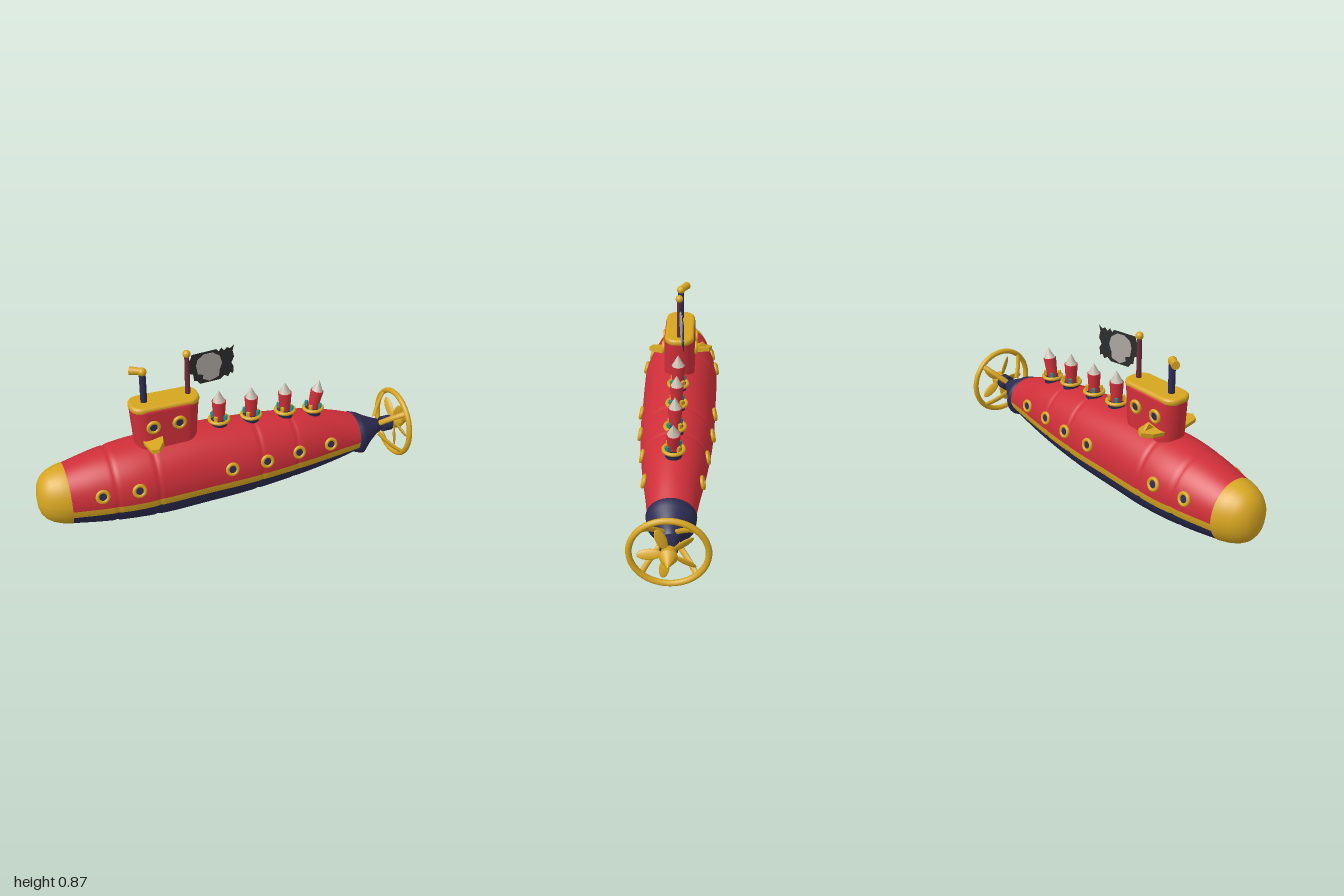
import * as THREE from 'three';

const mat = (name, color, side = THREE.FrontSide) => {
  const m = new THREE.MeshStandardMaterial({ color, side });
  m.name = name;
  return m;
};

export function createModel() {
  const red = mat('red', 0xcf2f39), gold = mat('gold', 0xd6a520), navy = mat('navy', 0x2c2b52);
  const black = mat('black', 0x2c2c2c, THREE.DoubleSide), grey = mat('grey', 0xaba5a1);
  const maroon = mat('maroon', 0x6b2f38), teal = mat('teal', 0x1c8f92), bone = mat('bone', 0xc9c0b2);
  const root = new THREE.Group();
  root.name = 'submarine';

  const add = (name, geo, material, pos = [0, 0, 0], rot = [0, 0, 0], parent = root) => {
    const m = new THREE.Mesh(geo, material);
    m.name = name;
    m.position.set(...pos);
    m.rotation.set(...rot);
    parent.add(m);
  };
  const group = (name, pos, parent = root) => {
    const g = new THREE.Group();
    g.name = name;
    g.position.set(...pos);
    parent.add(g);
    return g;
  };
  const outline = (pts) => new THREE.Shape(pts.map(([x, y]) => new THREE.Vector2(x, y)));
  const plate = (pts, depth) => new THREE.ExtrudeGeometry(outline(pts), { depth, bevelEnabled: false });

  // Hull sections: x, then top, bottom and half width
  const xs = [-0.86, -0.7, -0.55, -0.4, -0.2, 0, 0.2, 0.4, 0.55, 0.66];
  const sizes = [0.37, 0.07, 0.143, 0.405, 0.045, 0.173, 0.425, 0.03, 0.193, 0.435, 0.018, 0.193,
    0.44, 0.02, 0.188, 0.43, 0.027, 0.185, 0.415, 0.04, 0.17, 0.39, 0.06, 0.145,
    0.35, 0.085, 0.122, 0.31, 0.115, 0.108];
  const curve = new THREE.CubicInterpolant(xs, sizes, 3);
  const seams = [-0.65, -0.45, 0.08, 0.28];
  const section = (x) => {
    const [top, bottom, w] = curve.evaluate(x);
    // Shallow dents at the plate seams
    const k = 1 - seams.reduce((s, p) => s + 0.025 * Math.exp(-(((x - p) / 0.009) ** 2)), 0);
    return { x, cy: (top + bottom) / 2, ry: k * (top - bottom) / 2, w: w * k };
  };
  const loft = (sections, from, to, seg) => {
    const pos = [], index = [];
    sections.forEach((s, i) => {
      const a0 = from(s), a1 = to(s);
      for (let j = 0; j <= seg; j++) {
        const a = a0 + (a1 - a0) * j / seg;
        pos.push(s.x, s.cy + s.ry * Math.sin(a), s.w * Math.cos(a));
        if (i && j) {
          const d = i * (seg + 1) + j, c = d - 1, b = d - seg - 1, e = b - 1;
          index.push(e, c, d, e, d, b);
        }
      }
    });
    const g = new THREE.BufferGeometry();
    g.setAttribute('position', new THREE.Float32BufferAttribute(pos, 3));
    g.setIndex(index);
    g.computeVertexNormals();
    return g;
  };
  const body = Array.from({ length: 161 }, (_, i) => section(-0.86 + 1.52 * i / 160));
  const at = (y) => (s) => Math.asin(THREE.MathUtils.clamp((y - s.cy) / s.ry, -1, 1));
  const low = at(0.165), high = at(0.205);
  add('upperHull', loft(body, high, (s) => Math.PI - high(s), 40), red);
  add('lowerHull', loft(body, (s) => Math.PI - low(s), (s) => 2 * Math.PI + low(s), 36), navy);
  add('leftStripe', loft(body, low, high, 3), gold);
  add('rightStripe', loft(body, (s) => Math.PI - high(s), (s) => Math.PI - low(s), 3), gold);
  // Keel point under the tower
  add('keelPoint', plate([[-0.055, 0.035], [0, 0], [0.055, 0.035]], 0.03).rotateY(Math.PI / 2), navy, [-0.425, 0, 0]);

  // Full rings for the nose and the tail cone
  const rings = (list) => list.map(([x, top, bottom, w]) => ({ x, cy: (top + bottom) / 2, ry: (top - bottom) / 2, w }));
  const zero = () => 0, full = () => 2 * Math.PI;
  add('noseCap', loft(rings([[-1, 0.212, 0.212, 0], [-0.998, 0.255, 0.17, 0.035], [-0.99, 0.295, 0.14, 0.062],
    [-0.97, 0.33, 0.113, 0.092], [-0.94, 0.352, 0.092, 0.115], [-0.9, 0.366, 0.077, 0.133],
    [-0.86, 0.372, 0.068, 0.145], [-0.858, 0.368, 0.072, 0.141]]), zero, full, 40), gold);
  add('tailCone', loft(rings([[0.65, 0.3, 0.12, 0.09], [0.655, 0.316, 0.1, 0.115], [0.69, 0.304, 0.085, 0.11],
    [0.73, 0.28, 0.13, 0.08], [0.78, 0.258, 0.168, 0.048], [0.81, 0.248, 0.18, 0.035],
    [0.81, 0.215, 0.215, 0]]), zero, full, 32), navy);

  // Propeller assembly, turning about the x axis
  const prop = group('propeller', [0.9, 0.215, 0]);
  const alongX = [0, 0, -Math.PI / 2];
  add('shaft', new THREE.CylinderGeometry(0.024, 0.028, 0.16, 20), navy, [-0.05, 0, 0], alongX, prop);
  add('shaftCollar', new THREE.CylinderGeometry(0.04, 0.04, 0.05, 20), navy, [-0.045, 0, 0], alongX, prop);
  add('guardRing', new THREE.TorusGeometry(0.17, 0.014, 12, 56), gold, [0, 0, 0], [0, Math.PI / 2, 0], prop);
  add('hub', new THREE.CylinderGeometry(0.04, 0.032, 0.04, 24), gold, [0.01, 0, 0], alongX, prop);
  add('hubCone', new THREE.ConeGeometry(0.04, 0.07, 24), gold, [0.065, 0, 0], alongX, prop);
  const bladeGeo = new THREE.SphereGeometry(1, 16, 12).scale(0.007, 0.055, 0.024).rotateY(0.5).translate(0.005, 0.082, 0);
  for (let i = 0; i < 5; i++) add('blade', bladeGeo, gold, [0, 0, 0], [0.4 + i * Math.PI * 0.4, 0, 0], prop);
  const strutPath = new THREE.QuadraticBezierCurve3(new THREE.Vector3(-0.1, 0.045, 0),
    new THREE.Vector3(-0.06, 0.12, 0), new THREE.Vector3(0, 0.168, 0));
  const strutGeo = new THREE.TubeGeometry(strutPath, 12, 0.009, 8).scale(1, 1, 1.6);
  for (let i = 0; i < 4; i++) add('guardStrut', strutGeo, gold, [0, 0, 0], [Math.PI / 4 + i * Math.PI / 2, 0, 0], prop);

  // Portholes on both sides of hull and tower
  const rimGeo = new THREE.TorusGeometry(0.026, 0.009, 10, 28);
  const glassGeo = new THREE.CylinderGeometry(0.026, 0.026, 0.012, 24).rotateX(Math.PI / 2);
  const porthole = (x, y, z, tilt) => {
    for (const side of [1, -1]) {
      const g = group('porthole', [x, y, side * z]);
      g.rotation.set(-tilt, side < 0 ? Math.PI : 0, 0, 'YXZ');
      add('portholeRim', rimGeo, gold, [0, 0, 0.003], [0, 0, 0], g);
      add('portholeGlass', glassGeo, navy, [0, 0, 0], [0, 0, 0], g);
    }
  };
  for (const [x, y] of [[-0.72, 0.275], [-0.55, 0.28], [-0.085, 0.28], [0.1, 0.275], [0.28, 0.27], [0.465, 0.26]]) {
    const s = section(x), a = at(y)(s);
    porthole(x, y, s.w * Math.cos(a) + 0.002, Math.atan2(Math.sin(a) / s.ry, Math.cos(a) / s.w));
  }
  porthole(-0.437, 0.54, 0.079, 0);
  porthole(-0.31, 0.54, 0.079, 0);

  // Conning tower with rounded corners, wider towards the top
  const slab = (len, wide, r, depth, bevel) => {
    const a = len / 2 - bevel, b = wide / 2 - bevel, s = new THREE.Shape();
    s.absarc(a - r, b - r, r, 0, Math.PI / 2);
    s.absarc(-a + r, b - r, r, Math.PI / 2, Math.PI);
    s.absarc(-a + r, -b + r, r, Math.PI, Math.PI * 1.5);
    s.absarc(a - r, -b + r, r, Math.PI * 1.5, Math.PI * 2);
    return new THREE.ExtrudeGeometry(s, { depth, curveSegments: 10, bevelEnabled: bevel > 0,
      bevelThickness: bevel, bevelSize: bevel, bevelSegments: 4 }).rotateX(-Math.PI / 2);
  };
  const towerGeo = slab(0.335, 0.154, 0.055, 0.22, 0.018);
  const tp = towerGeo.attributes.position;
  for (let i = 0; i < tp.count; i++) tp.setX(i, tp.getX(i) * (0.9 + 0.45 * tp.getY(i)));
  towerGeo.computeVertexNormals();
  add('tower', towerGeo, red, [-0.36, 0.392, 0]);
  add('towerRoof', slab(0.338, 0.146, 0.045, 0.006, 0.014), gold, [-0.36, 0.62, 0]);

  // Diving planes, each with a small upright fin
  const planeGeo = plate([[-0.05, -0.06], [0.05, -0.06], [0.035, -0.12], [0, -0.165], [-0.035, -0.15]], 0.022).rotateX(-Math.PI / 2);
  const finGeo = plate([[0.07, 0.01], [0.15, 0.01], [0.115, 0.05]], 0.012).rotateY(-Math.PI / 2);
  for (const [name, y, turn] of [['leftDivingPlane', 0.45, 0], ['rightDivingPlane', 0.462, Math.PI]]) {
    const g = group(name, [-0.435, y, 0]);
    add('plane', planeGeo, gold, [0, 0, 0], [0, turn, turn ? -0.2 : 0.2], g);
    if (turn) add('planeFin', finGeo, gold, [0, 0, 0], [0, turn, 0], g);
  }

  // Periscope
  add('periscopeTube', new THREE.CylinderGeometry(0.016, 0.016, 0.19, 18), navy, [-0.455, 0.71, 0]);
  add('periscopeElbow', new THREE.SphereGeometry(0.021, 18, 12), gold, [-0.455, 0.796, 0]);
  add('periscopeHead', new THREE.CylinderGeometry(0.02, 0.016, 0.06, 18), gold, [-0.48, 0.798, -0.016], [0, -0.5, Math.PI / 2]);

  // Flag
  add('flagPole', new THREE.CylinderGeometry(0.011, 0.013, 0.22, 14), maroon, [-0.24, 0.735, 0]);
  add('poleBall', new THREE.SphereGeometry(0.019, 20, 14), gold, [-0.24, 0.847, 0]);
  const flag = group('flag', [-0.235, 0.75, 0]);
  flag.rotation.y = 0.13;
  add('flagCloth', new THREE.ShapeGeometry(outline([[0, 0.06], [0.012, 0.06], [0.02, 0.085], [0.15, 0.083], [0.16, 0.068],
    [0.175, 0.084], [0.19, 0.066], [0.205, 0.08], [0.22, 0.07], [0.243, 0.084], [0.235, 0.055], [0.243, 0.02],
    [0.228, -0.01], [0.24, -0.03], [0.238, -0.07], [0.222, -0.06], [0.21, -0.08], [0.19, -0.066], [0.17, -0.083],
    [0.06, -0.08], [0.045, -0.06], [0.03, -0.055], [0.025, -0.02], [0, -0.01]])), black, [0, 0, 0], [0, 0, 0], flag);
  add('flagPatch', plate([[0.05, 0.05], [0.085, 0.072], [0.13, 0.07], [0.165, 0.045], [0.177, 0.005],
    [0.163, -0.03], [0.16, -0.062], [0.11, -0.075], [0.075, -0.055], [0.08, -0.035], [0.05, -0.025], [0.042, 0.02]], 0.006),
  grey, [0, 0, -0.003], [0, 0, 0], flag);

  // Rocket launchers along the spine: x, ring height, size, lean
  const cupGeo = new THREE.CylinderGeometry(0.046, 0.036, 0.06, 24);
  const ringGeo = new THREE.TorusGeometry(0.047, 0.009, 10, 30).rotateX(Math.PI / 2);
  for (const [x, y, k, lean] of [[-0.085, 0.458, 1.05, 0], [0.083, 0.448, 1, 0], [0.265, 0.434, 1.02, 0.03], [0.42, 0.412, 1, -0.2]]) {
    const g = group('rocketLauncher', [x, y, 0]);
    add('cup', cupGeo, navy, [0, -0.028, 0], [0, 0, 0], g);
    add('cupRing', ringGeo, gold, [0, 0, 0], [0, 0, 0], g);
    for (let i = 0; i < 4; i++) {
      const a = Math.PI / 4 + i * Math.PI / 2;
      add('clamp', new THREE.BoxGeometry(0.014, 0.03, 0.016), i % 2 ? gold : teal,
        [0.036 * Math.cos(a), 0.014, 0.036 * Math.sin(a)], [0, -a, 0], g);
    }
    const rocket = group('rocket', [0, 0, 0], g);
    rocket.rotation.z = lean;
    rocket.scale.setScalar(k);
    add('rocketBody', new THREE.CylinderGeometry(0.033, 0.026, 0.1, 16), red, [0, 0.048, 0], [0, 0, 0], rocket);
    add('rocketTip', new THREE.ConeGeometry(0.03, 0.055, 8), bone, [0, 0.1255, 0], [0, 0, 0], rocket);
  }
  return root;
}
